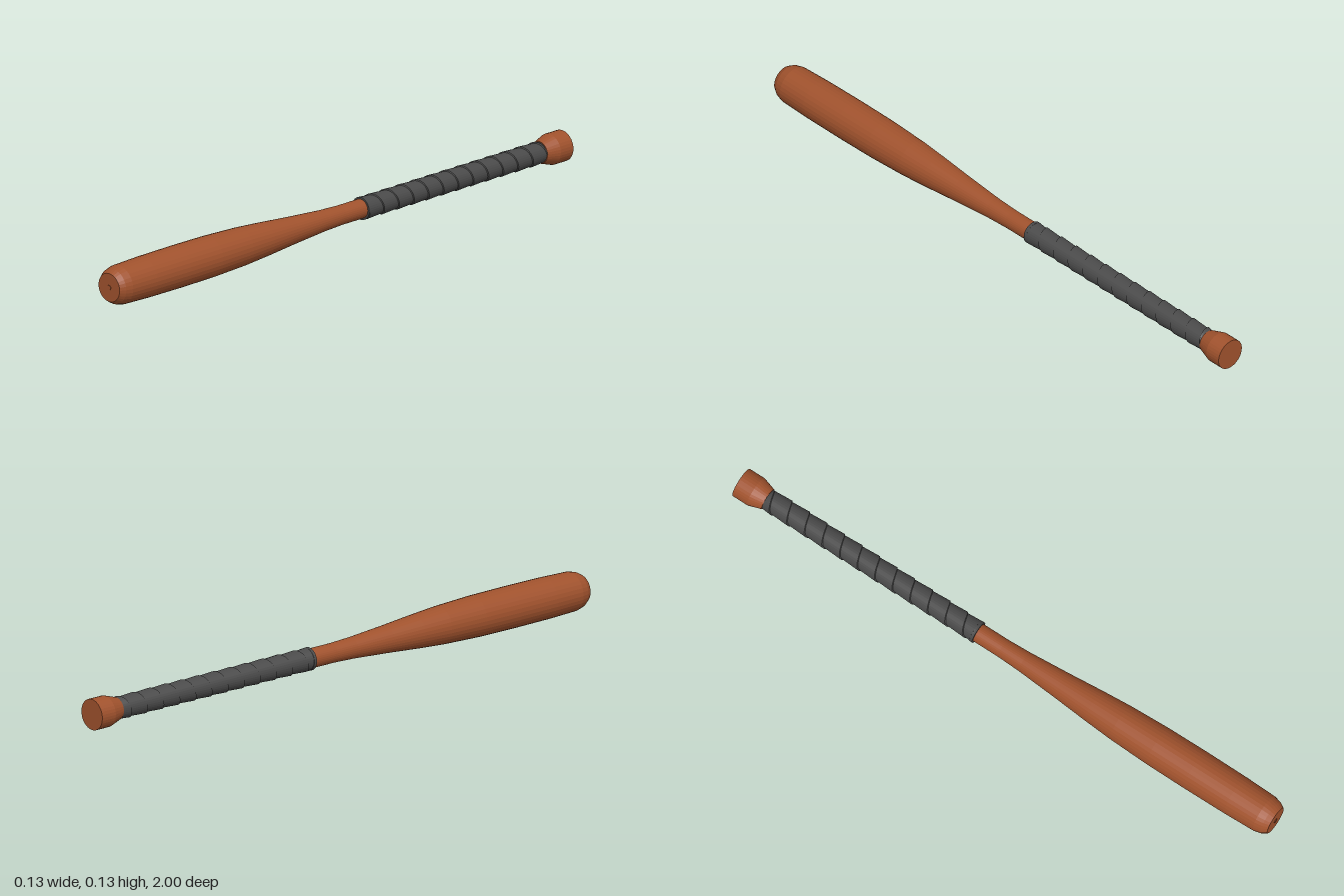
import * as THREE from 'three';

const SIDES = 32;
const AXIS_Y = 0.068;

// Turn a [radius, z] profile around the z axis
function turned(name, profile, material) {
  const geo = new THREE.LatheGeometry(profile.map(([r, z]) => new THREE.Vector2(r, z)), SIDES);
  geo.rotateX(Math.PI / 2);
  const mesh = new THREE.Mesh(geo, material);
  mesh.name = name;
  return mesh;
}

// Helical tape: each turn slopes outward, then steps down to the next turn
function wrapGeometry(z0, z1, pitch, inner, outer) {
  const pos = [], idx = [];
  const turns = Math.ceil((z1 - z0) / pitch) + 1;
  const steps = turns * SIDES;
  const section = [[inner, 0], [outer, 0.97], [inner, 1]];
  for (let i = 0; i <= steps; i++) {
    const a = (i / SIDES) * Math.PI * 2;
    const start = z0 - pitch + (i / SIDES) * pitch;
    for (const [r, t] of section) {
      const z = THREE.MathUtils.clamp(start + t * pitch, z0, z1);
      pos.push(r * Math.cos(a), r * Math.sin(a), z);
    }
  }
  for (let i = 0; i < steps; i++) {
    for (let j = 0; j < 2; j++) {
      const a = i * 3 + j, b = a + 3;
      idx.push(a, b, a + 1, b, b + 1, a + 1);
    }
  }
  const geo = new THREE.BufferGeometry();
  geo.setAttribute('position', new THREE.Float32BufferAttribute(pos, 3));
  geo.setIndex(idx);
  const flat = geo.toNonIndexed();
  flat.computeVertexNormals();
  return flat;
}

export function createModel() {
  const wood = new THREE.MeshStandardMaterial({ color: 0xa0522d, flatShading: true });
  wood.name = 'wood';
  const tape = new THREE.MeshStandardMaterial({ color: 0x4a4a4a, flatShading: true, side: THREE.DoubleSide });
  tape.name = 'gripTape';

  const bat = new THREE.Group();
  bat.name = 'bat';
  bat.position.y = AXIS_Y;

  // Handle widening into the barrel, with a chamfered tip
  bat.add(turned('barrel', [
    [0.031, -0.92], [0.031, -0.1], [0.031, -0.02], [0.034, 0.06], [0.044, 0.2],
    [0.054, 0.32], [0.061, 0.42], [0.066, 0.56], [0.067, 0.7], [0.066, 0.85],
    [0.063, 0.955], [0.057, 0.98], [0.046, 0.998], [0, 0.998],
  ], wood));

  // Small centre mark on the tip
  bat.add(turned('tipMark', [[0.008, 0.996], [0.008, 1], [0, 1]], wood));

  // Knob at the end of the handle
  bat.add(turned('knob', [
    [0, -1], [0.05, -1], [0.05, -0.945], [0.036, -0.9], [0, -0.9],
  ], wood));

  // Spiral grip with closed ends
  const grip = new THREE.Mesh(wrapGeometry(-0.9, -0.112, 0.0657, 0.0335, 0.037), tape);
  grip.name = 'gripWrap';
  bat.add(grip);
  bat.add(turned('gripCore', [
    [0.03, -0.9], [0.0335, -0.9], [0.0335, -0.125], [0.0365, -0.122], [0.0365, -0.112], [0.03, -0.112],
  ], tape));

  const model = new THREE.Group();
  model.name = 'model';
  model.add(bat);
  return model;
}
